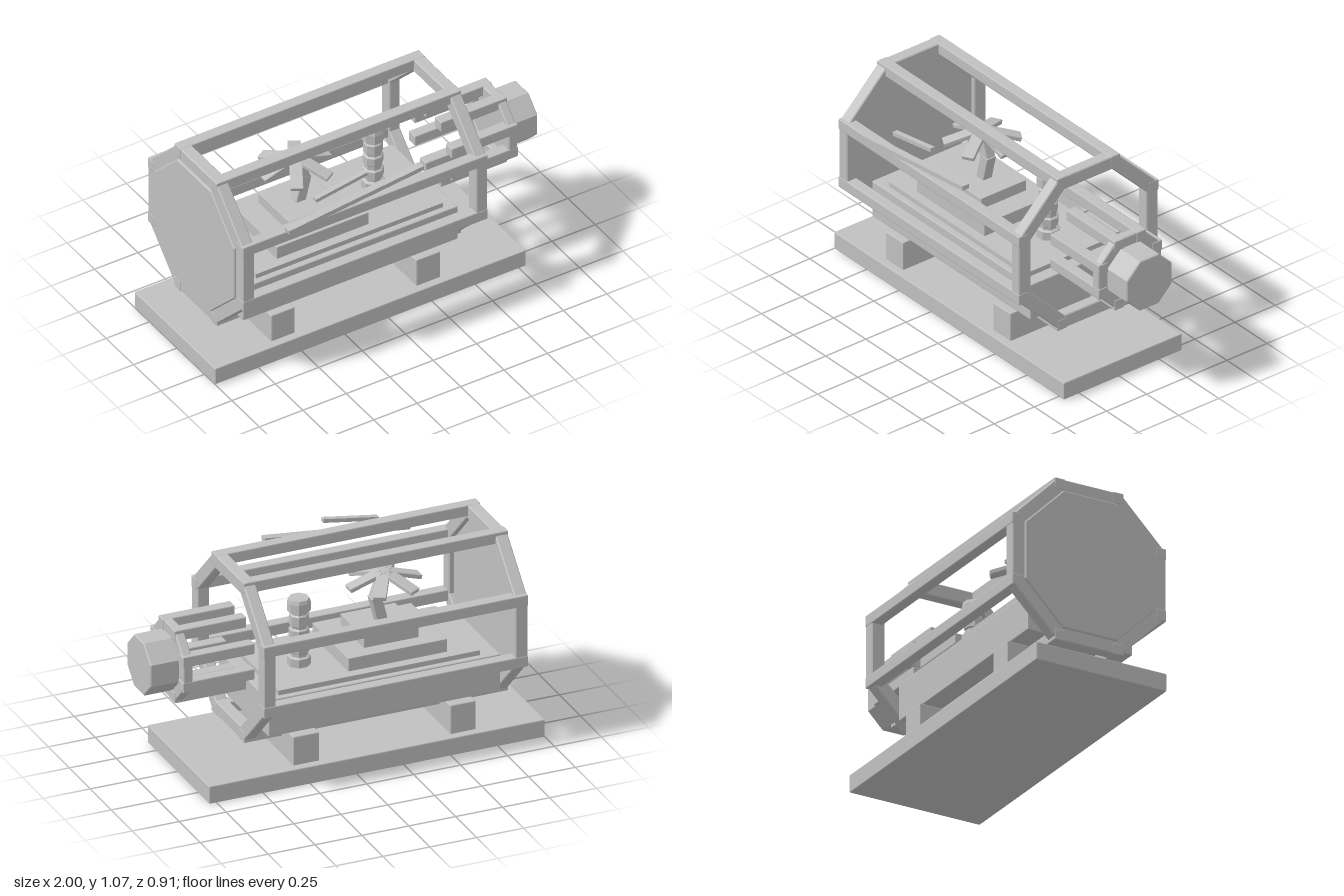
import * as THREE from 'three';
import { RoundedBoxGeometry } from 'three/addons/geometries/RoundedBoxGeometry.js';

const CY = 0.632, CZ = -0.019; // axis of the octagonal cage
const T = Math.tan(Math.PI / 8);

export function createModel() {
  const model = new THREE.Group();
  const grey = new THREE.MeshStandardMaterial({ color: 0xc0c0c0, flatShading: true });
  grey.name = 'plain grey';

  function add(geometry, name, parent = model) {
    const mesh = new THREE.Mesh(geometry, grey);
    mesh.name = name;
    parent.add(mesh);
    return mesh;
  }
  // Box given by its limits, with slightly softened edges
  function box(name, x0, x1, y0, y1, z0, z1, bevel = 0.005) {
    const s = [x1 - x0, y1 - y0, z1 - z0];
    const g = bevel ? new RoundedBoxGeometry(...s, 1, bevel) : new THREE.BoxGeometry(...s);
    const mesh = add(g, name);
    mesh.position.set((x0 + x1) / 2, (y0 + y1) / 2, (z0 + z1) / 2);
    return mesh;
  }
  // Corner points of an octagon with flat sides at distance a from its centre
  function octagon(a) {
    const r = a * Math.sqrt(1 + T * T);
    return Array.from({ length: 8 }, (_, i) => {
      const t = Math.PI / 8 + i * Math.PI / 4;
      return new THREE.Vector2(r * Math.cos(t), r * Math.sin(t));
    });
  }
  // Octagonal plate or ring on the cage axis from x0 to x1
  function octPlate(name, x0, x1, outer, inner = 0) {
    const b = 0.005;
    const shape = new THREE.Shape(octagon(outer - b));
    if (inner) shape.holes.push(new THREE.Path(octagon(inner + b).reverse()));
    const g = new THREE.ExtrudeGeometry(shape, {
      depth: x1 - x0 - 2 * b, bevelEnabled: true, bevelSegments: 1, bevelSize: b, bevelThickness: b,
    });
    g.rotateY(Math.PI / 2);
    add(g, name).position.set(x0 + b, CY, CZ);
  }
  // Eight square rails at the corners of an octagon
  function rails(name, x0, x1, near, far, w) {
    for (const sy of [-1, 1]) for (const sz of [-1, 1])
      for (const [dy, dz] of [[near, far], [far, near]]) {
        const y = CY + sy * dy, z = CZ + sz * dz;
        box(name, x0, x1, y - w / 2, y + w / 2, z - w / 2, z + w / 2);
      }
  }

  // Stand
  box('basePlate', -1, 0.79, 0, 0.095, -0.388, 0.348);
  box('foot', -0.65, -0.515, 0.09, 0.25, -0.346, 0.306);
  box('foot', 0.185, 0.323, 0.09, 0.25, -0.346, 0.306);

  // Floor block and stepped plinths
  box('floorBlock', -0.794, 0.441, 0.26, 0.46, -0.316, 0.277);
  box('floorStep', -0.7, 0.375, 0.45, 0.486, -0.286, 0.245, 0);
  box('lowerPlinth', -0.548, -0.02, 0.48, 0.556, -0.234, 0.195, 0.003);
  box('upperPlinth', -0.43, -0.136, 0.55, 0.615, -0.16, 0.122, 0.003);

  // Main cage with its closed end
  octPlate('endRing', -0.88, -0.815, 0.433, 0.36);
  octPlate('endRing', 0.463, 0.525, 0.433, 0.36);
  octPlate('endPanel', -0.892, -0.84, 0.367);
  rails('cageRail', -0.882, 0.527, 0.165, 0.405, 0.06);

  // Narrow neck and cap
  octPlate('neckRing', 0.8, 0.848, 0.196, 0.137);
  rails('neckRail', 0.47, 0.852, 0.069, 0.168, 0.058);
  octPlate('endCap', 0.835, 1, 0.141);

  // Bent trunk
  function trunk(ax, ay, bx, by, w) {
    const len = Math.hypot(bx - ax, by - ay);
    const mesh = add(new RoundedBoxGeometry(w, len + 0.02, w, 1, 0.005), 'trunk');
    mesh.position.set((ax + bx) / 2, (ay + by) / 2, CZ);
    mesh.rotation.z = Math.atan2(ax - bx, by - ay);
  }
  trunk(-0.29, 0.615, -0.258, 0.745, 0.056);
  trunk(-0.262, 0.745, -0.306, 0.865, 0.054);

  // Six drooping leaves
  const crown = new THREE.Group();
  crown.name = 'crown';
  crown.position.set(-0.306, 0.878, CZ);
  model.add(crown);
  for (let i = 0; i < 6; i++) {
    const g = new RoundedBoxGeometry(0.2, 0.024, 0.064, 1, 0.004);
    g.translate(0.1, 0, 0);
    g.rotateZ(-0.31);
    g.rotateY(i * Math.PI / 3);
    add(g, 'leaf', crown);
  }

  // Banded octagonal column
  const profile = [
    [0, 0.48], [0.058, 0.48], [0.058, 0.53], [0.044, 0.537], [0.044, 0.553], [0.054, 0.56],
    [0.054, 0.6], [0.044, 0.607], [0.044, 0.63], [0.051, 0.637], [0.051, 0.68], [0.042, 0.687],
    [0.042, 0.695], [0.049, 0.702], [0.049, 0.755], [0.042, 0.762], [0.042, 0.77],
    [0.058, 0.777], [0.058, 0.825], [0.052, 0.845], [0, 0.845],
  ].map(p => new THREE.Vector2(...p));
  const column = add(new THREE.LatheGeometry(profile, 8, Math.PI / 8), 'column');
  column.position.set(0.163, 0, -0.055);

  // Tilted bars beside the cage
  function bar(name, x, y, z, len, h, depth, angle) {
    const mesh = add(new THREE.BoxGeometry(len, h, depth), name);
    mesh.position.set(x, y, z);
    mesh.rotation.z = angle;
  }
  bar('longBar', -0.254, 0.89, 0.435, 0.78, 0.024, 0.041, 0.109);
  bar('shortBar', -0.313, 0.967, 0.4, 0.298, 0.02, 0.028, 0.16);

  return model;
}
